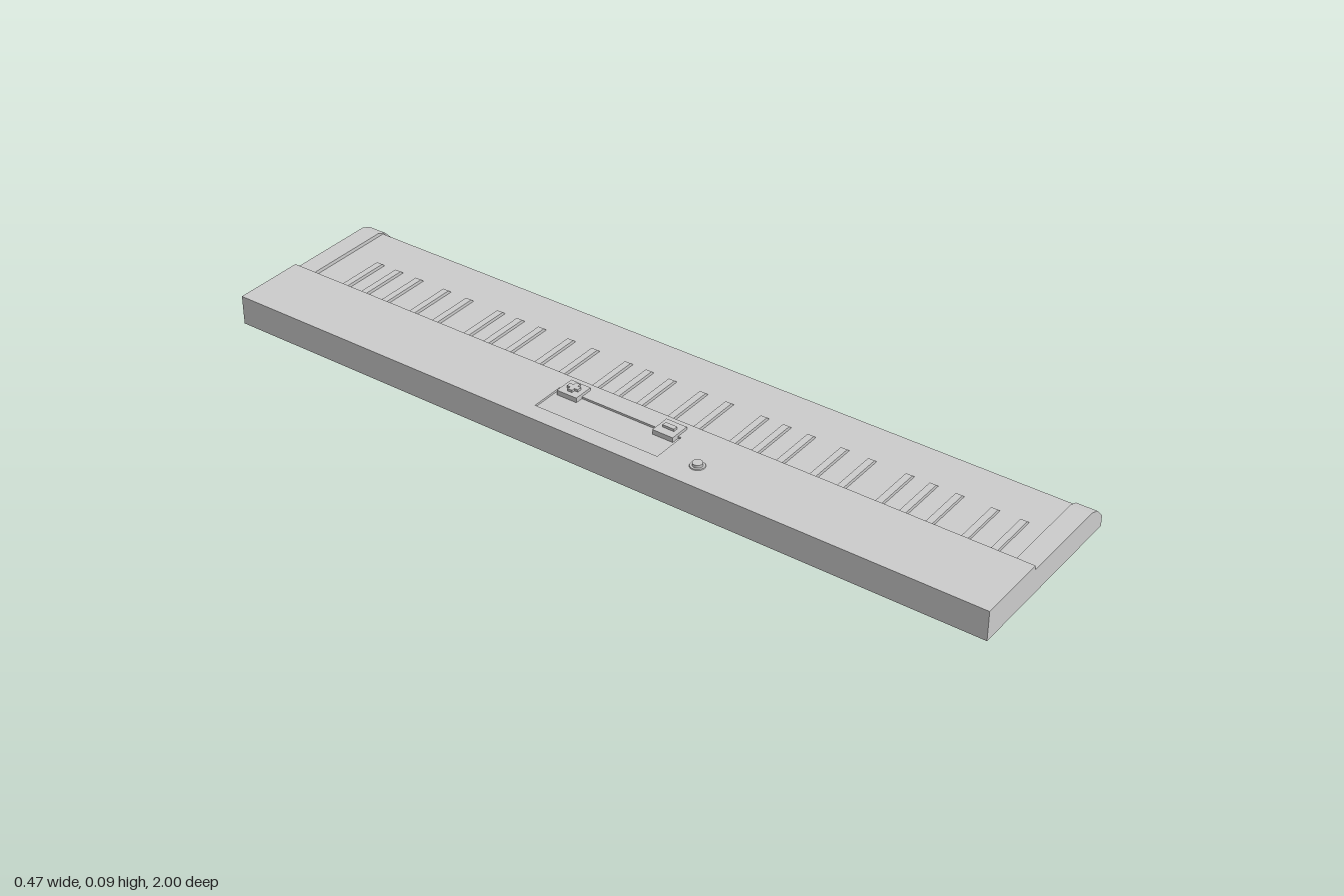
import * as THREE from 'three';

const material = new THREE.MeshStandardMaterial({ color: 0xcccccc, flatShading: true });
const smooth = new THREE.MeshStandardMaterial({ color: 0xcccccc });

export function createModel() {
  const model = new THREE.Group();
  model.name = 'keyboard';

  function add(name, geometry, parent = model, mat = material) {
    const mesh = new THREE.Mesh(geometry, mat);
    mesh.name = name;
    parent.add(mesh);
    return mesh;
  }

  // Box given by its limits on each axis
  function block(name, x0, x1, y0, y1, z0, z1, parent) {
    const mesh = add(name, new THREE.BoxGeometry(x1 - x0, y1 - y0, z1 - z0), parent);
    mesh.position.set((x0 + x1) / 2, (y0 + y1) / 2, (z0 + z1) / 2);
    return mesh;
  }

  // Side profile (x, y) run along z
  function run(name, points, z0, z1, parent) {
    const shape = new THREE.Shape(points.map(([x, y]) => new THREE.Vector2(x, y)));
    const geometry = new THREE.ExtrudeGeometry(shape, { depth: z1 - z0, bevelEnabled: false });
    geometry.translate(0, 0, z0);
    return add(name, geometry, parent);
  }

  const back = -0.237, front = 0.236, step = -0.054;
  const keyTop = 0.054, lip = 0.022, panelTop = 0.074, recessFloor = 0.069;
  const keysEnd = 0.95;

  // Housing: raised rear part and low tray under the keys
  run('housing', [
    [back, 0], [front, 0], [front, lip], [step, lip], [step, recessFloor], [back, recessFloor],
  ], -1, 1);

  // Control panel plate with the display opening; shape y becomes -z
  const plate = new THREE.Shape();
  plate.moveTo(back, -1).lineTo(step, -1).lineTo(step, 1).lineTo(back, 1).closePath();
  const opening = new THREE.Path();
  opening.moveTo(-0.192, -0.165).lineTo(-0.192, 0.165).lineTo(-0.105, 0.165).lineTo(-0.105, -0.165).closePath();
  plate.holes.push(opening);
  const plateGeometry = new THREE.ExtrudeGeometry(plate, { depth: panelTop - recessFloor, bevelEnabled: false });
  plateGeometry.rotateX(-Math.PI / 2).translate(0, recessFloor, 0);
  add('controlPanel', plateGeometry);

  // End cheeks with the bevelled front
  for (const side of [-1, 1]) {
    run(side > 0 ? 'leftCheek' : 'rightCheek', [
      [step, lip], [front, lip], [front, 0.027], [0.21, 0.054], [0.185, 0.063], [step, 0.063],
    ], side > 0 ? keysEnd : -1, side > 0 ? 1 : -keysEnd);
  }

  // White key bed
  run('whiteKeys', [
    [step, lip], [0.203, lip], [0.207, 0.05], [0.203, keyTop], [step, keyTop],
  ], -keysEnd, keysEnd);

  // Black keys: five octaves, each in a group of two and a group of three
  const blackKeys = new THREE.Group();
  blackKeys.name = 'blackKeys';
  model.add(blackKeys);
  const whiteWidth = 2 * keysEnd / 36;
  for (let octave = 0; octave < 5; octave++) {
    for (const offset of [0.98, 2.29, 3.9, 5.1, 6.2]) {
      const z = keysEnd - (octave * 7 + offset) * whiteWidth;
      run('blackKey', [
        [step, keyTop - 0.002], [0.091, keyTop - 0.002], [0.091, keyTop], [0.082, 0.062], [step, 0.062],
      ], z - 0.008, z + 0.008, blackKeys);
    }
  }

  // Button pads beside the display
  for (const [name, z] of [['plusButton', -0.13], ['barButton', 0.13]]) {
    const pad = new THREE.Group();
    pad.name = name;
    model.add(pad);
    block('pad', -0.125, -0.073, recessFloor, 0.081, z - 0.027, z + 0.027, pad);
    block('raisedBar', -0.104, -0.092, 0.081, 0.087, z - 0.015, z + 0.015, pad);
    if (z < 0) {
      // Cross arms on either side of the bar
      block('crossArm', -0.113, -0.104, 0.081, 0.087, z - 0.006, z + 0.006, pad);
      block('crossArm', -0.092, -0.083, 0.081, 0.087, z - 0.006, z + 0.006, pad);
    }
  }

  // Volume knob on a thin collar
  const knob = new THREE.Group();
  knob.name = 'knob';
  knob.position.set(-0.17, panelTop, 0.254);
  model.add(knob);
  add('collar', new THREE.CylinderGeometry(0.017, 0.018, 0.002, 32), knob, smooth).position.y = 0.001;
  add('cap', new THREE.CylinderGeometry(0.012, 0.012, 0.007, 32), knob, smooth).position.y = 0.0055;

  return model;
}
